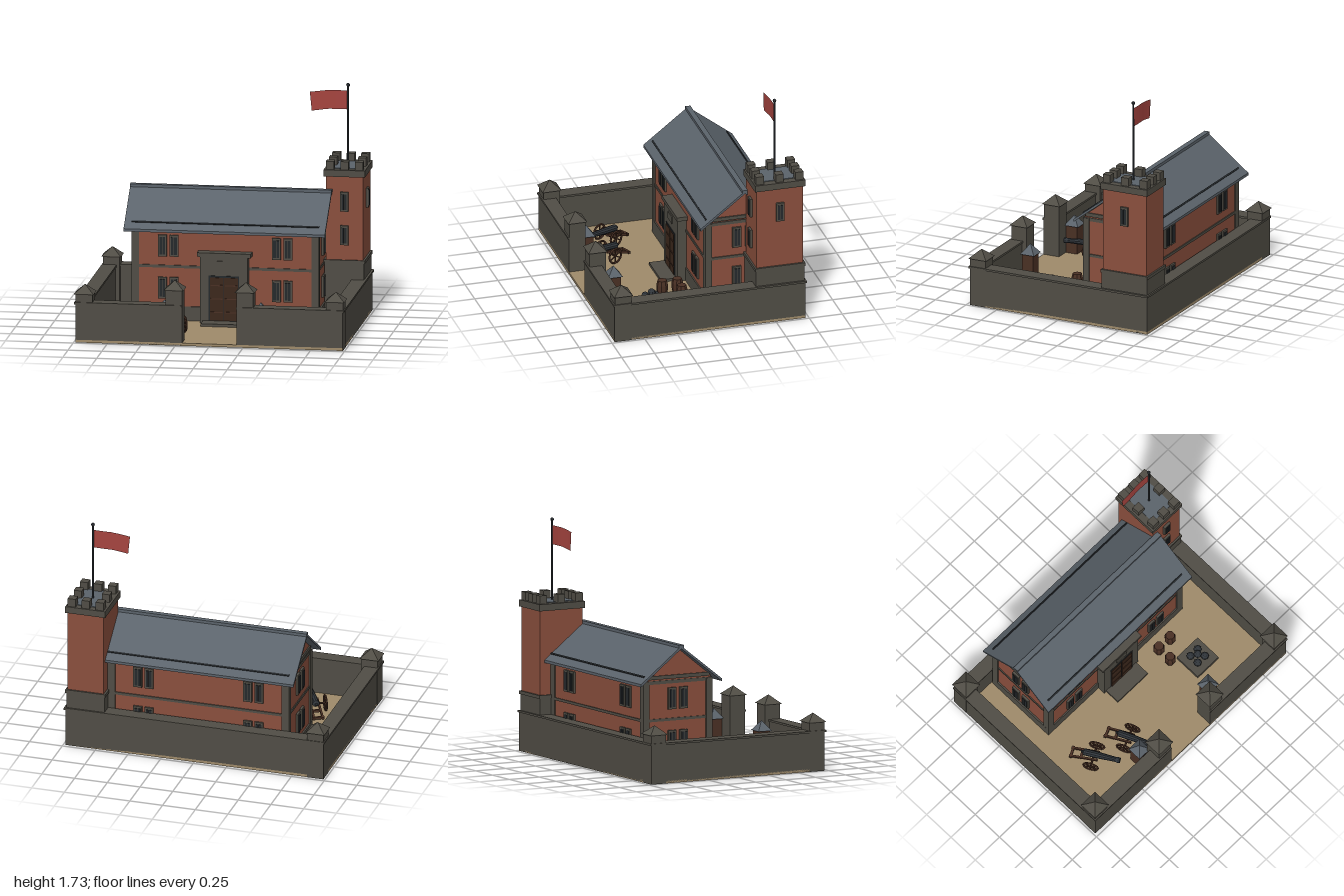
import * as THREE from 'three';

const paint = (color) => new THREE.MeshStandardMaterial({ color, flatShading: true });
const stone = paint(0x504d45), brick = paint(0x8a4f3d), slate = paint(0x5b636b), sand = paint(0x9e8a6a);
const dark = paint(0x25292c), iron = paint(0x30353a), wood = paint(0x4a3024), door = paint(0x3c281c);
const cloth = paint(0xa5443f);
cloth.side = THREE.DoubleSide;

function add(parent, name, geometry, material, x = 0, y = 0, z = 0) {
  const mesh = new THREE.Mesh(geometry, material);
  mesh.name = name;
  mesh.position.set(x, y, z);
  parent.add(mesh);
  return mesh;
}

// Box standing on height y
const box = (p, name, mat, w, h, d, x, y, z) =>
  add(p, name, new THREE.BoxGeometry(w, h, d), mat, x, y + h / 2, z);

const pyramid = (p, name, mat, w, h, x, y, z) =>
  add(p, name, new THREE.ConeGeometry(w / Math.SQRT2, h, 4).rotateY(Math.PI / 4), mat, x, y + h / 2, z);

function group(parent, name, x = 0, y = 0, z = 0, turn = 0) {
  const g = new THREE.Group();
  g.name = name;
  g.position.set(x, y, z);
  g.rotation.y = turn;
  parent.add(g);
  return g;
}

// Extrude a (-z, y) profile along x
function alongX(points, width) {
  const shape = new THREE.Shape(points.map(([u, y]) => new THREE.Vector2(u, y)));
  return new THREE.ExtrudeGeometry(shape, { depth: width, bevelEnabled: false })
    .translate(0, 0, -width / 2).rotateY(Math.PI / 2);
}

// Framed window with two dark panes
function windowAt(parent, x, y, z, turn, w = 0.065, h = 0.16) {
  const g = group(parent, 'window', x, y, z, turn);
  box(g, 'windowFrame', stone, w, h, 0.03, 0, -h / 2, 0);
  for (const s of [-1, 1]) box(g, 'windowPane', dark, w * 0.29, h - 0.03, 0.04, s * w * 0.18, -h / 2 + 0.015, 0);
}

function addYard(root) {
  const yard = group(root, 'yard');
  box(yard, 'ground', sand, 1.97, 0.02, 1.45, 0, 0, 0);
  // Perimeter walls with capping: width, depth, x, z
  const runs = [[1.97, 0.09, 0, -0.68], [0.785, 0.09, 0.5925, 0.68], [0.785, 0.09, -0.5925, 0.68],
    [0.09, 1.45, 0.94, 0], [0.09, 1.45, -0.94, 0]];
  for (const [w, d, x, z] of runs) {
    box(yard, 'yardWall', stone, w, 0.285, d, x, 0, z);
    box(yard, 'wallCap', stone, w + (w > 0.5 && w < 1 ? 0 : 0.02), 0.015, d + 0.015, x, 0.285, z);
  }
  // Corner piers and gate posts
  for (const [x, z, h] of [[-0.925, -0.665, 0.36], [-0.925, 0.66, 0.36], [0.925, 0.66, 0.36],
    [-0.262, 0.66, 0.41], [0.262, 0.66, 0.41]]) {
    box(yard, 'pier', stone, 0.124, h, 0.124, x, 0, z);
    pyramid(yard, 'pierCap', stone, 0.145, 0.065, x, h, z);
  }
  // Sentry boxes
  for (const s of [-1, 1]) {
    const g = group(yard, 'sentryBox', s * 0.355, 0.02, 0.55);
    box(g, 'sentryBody', wood, 0.09, 0.21, 0.09, 0, 0, 0);
    box(g, 'sentryOpening', dark, 0.05, 0.16, 0.01, 0, 0, 0.042);
    pyramid(g, 'sentryRoof', slate, 0.112, 0.075, 0, 0.21, 0);
  }
  // Barrels
  for (const [x, z] of [[0.34, 0.06], [0.455, 0.06], [0.34, 0.175]]) {
    const profile = [[0, 0], [0.034, 0], [0.042, 0.035], [0.042, 0.075], [0.034, 0.11], [0, 0.11]];
    const geo = new THREE.LatheGeometry(profile.map(([r, y]) => new THREE.Vector2(r, y)), 8);
    add(yard, 'barrel', geo.rotateY(Math.PI / 8), wood, x, 0.02, z);
  }
  // Cannonball pile
  box(yard, 'shotPlinth', stone, 0.215, 0.03, 0.215, 0.497, 0.02, 0.302);
  for (const [i, j, y] of [[-1, -1, 0.08], [1, -1, 0.08], [-1, 1, 0.08], [1, 1, 0.08], [0, 0, 0.118]])
    add(yard, 'cannonball', new THREE.SphereGeometry(0.03, 8, 6), iron, 0.497 + i * 0.037, y, 0.302 + j * 0.037);
}

// Field gun, muzzle towards +z, axle at the group centre
function addCannon(root, x, z, turn) {
  const g = group(root, 'cannon', x, 0.02, z, turn);
  const profile = [[0, -0.1], [0.01, -0.095], [0.01, -0.085], [0.026, -0.075], [0.025, 0.03],
    [0.018, 0.17], [0.022, 0.185], [0.02, 0.2], [0, 0.2]];
  const tube = new THREE.LatheGeometry(profile.map(([r, y]) => new THREE.Vector2(r, y)), 10).rotateX(Math.PI / 2);
  add(g, 'gunBarrel', tube, iron, 0, 0.105, 0).rotation.x = -0.08;
  add(g, 'axle', new THREE.CylinderGeometry(0.008, 0.008, 0.19, 6).rotateZ(Math.PI / 2), wood, 0, 0.065, 0);
  for (const s of [-1, 1]) {
    const wheel = group(g, 'wheel', s * 0.085, 0.065, 0);
    add(wheel, 'wheelRim', new THREE.TorusGeometry(0.056, 0.008, 5, 14).rotateY(Math.PI / 2), wood);
    for (let i = 0; i < 3; i++)
      add(wheel, 'spokes', new THREE.BoxGeometry(0.008, 0.11, 0.008), wood).rotation.x = i * Math.PI / 3;
    box(g, 'trailRail', wood, 0.014, 0.02, 0.22, s * 0.032, 0.045, -0.07).rotation.x = -0.29;
  }
  box(g, 'trailBar', wood, 0.09, 0.018, 0.018, 0, 0.018, -0.165);
  box(g, 'trailBar', wood, 0.08, 0.018, 0.018, 0, 0.04, -0.09);
}

function addHall(root) {
  const hall = group(root, 'hall');
  const midZ = -0.3375;
  add(hall, 'hallWalls', alongX([[0.06, 0], [0.615, 0], [0.615, 0.725], [midZ * -1, 0.943], [0.06, 0.725]], 1.36), brick);
  box(hall, 'plinth', stone, 1.385, 0.125, 0.575, 0, 0, midZ);
  box(hall, 'stringCourse', stone, 1.375, 0.02, 0.57, 0, 0.41, midZ);
  box(hall, 'eavesBand', stone, 1.375, 0.025, 0.57, 0, 0.685, midZ);
  for (const s of [-1, 1]) {
    box(hall, 'gableBand', stone, 0.02, 0.027, 0.53, s * 0.68, 0.72, midZ);
    for (const t of [-1, 1])
      box(hall, 'quoin', stone, 0.055, 0.705, 0.05, s * 0.6645, 0, midZ + t * 0.2625);
  }
  // Paired windows on all four sides, two storeys
  for (const y of [0.26, 0.575]) for (const s of [-1, 1]) for (const t of [-1, 1]) {
    windowAt(hall, s * 0.42 + t * 0.043, y, -0.06, 0);
    windowAt(hall, s * 0.42 + t * 0.043, y, -0.615, Math.PI);
    windowAt(hall, s * 0.682, y, midZ + t * 0.048, s * Math.PI / 2);
  }
  // Pitched roof, ridge and eaves battens
  add(hall, 'roof', alongX([[0, 0.682], [0.3375, 0.943], [0.675, 0.682], [0.675, 0.702], [0.3375, 0.963], [0, 0.702]], 1.485), slate);
  box(hall, 'ridge', slate, 1.487, 0.022, 0.04, 0, 0.948, midZ);
  for (const s of [-1, 1])
    box(hall, 'roofBatten', dark, 1.385, 0.012, 0.012, 0, 0.74, midZ + s * 0.282).rotation.x = s * 0.66;
  // Entrance portal
  box(hall, 'portal', stone, 0.35, 0.515, 0.08, 0, 0, -0.03);
  box(hall, 'portalCornice', stone, 0.398, 0.03, 0.1, 0, 0.515, -0.03);
  box(hall, 'plaque', stone, 0.1, 0.055, 0.012, 0, 0.43, 0.012);
  box(hall, 'doorFrame', dark, 0.225, 0.335, 0.006, 0, 0.04, 0.011);
  for (const s of [-1, 1]) {
    box(hall, 'doorLeaf', door, 0.1, 0.32, 0.012, s * 0.053, 0.042, 0.012);
    for (const y of [0.1, 0.2, 0.3]) box(hall, 'doorStrap', wood, 0.09, 0.008, 0.004, s * 0.053, y, 0.02);
  }
  box(hall, 'doorStep', stone, 0.31, 0.04, 0.13, 0, 0, 0.065);
}

function addTower(root) {
  const tower = group(root, 'tower', 0.833, 0, -0.534);
  box(tower, 'towerBase', stone, 0.29, 0.42, 0.37, 0, 0, 0);
  box(tower, 'towerBaseBand', stone, 0.305, 0.025, 0.382, 0, 0.42, 0);
  box(tower, 'towerShaft', brick, 0.275, 0.64, 0.355, 0, 0.44, 0);
  box(tower, 'parapet', stone, 0.305, 0.05, 0.382, 0, 1.065, 0);
  box(tower, 'towerRoof', slate, 0.2, 0.008, 0.28, 0, 1.112, 0);
  for (const i of [-1, 0, 1]) for (const j of [-1, 0, 1])
    if (i || j) box(tower, 'merlon', stone, 0.06, 0.062, 0.06, i * 0.107, 1.115, j * 0.15);
  windowAt(tower, 0, 0.88, 0.18, 0, 0.06, 0.145);
  windowAt(tower, 0, 0.63, 0.18, 0, 0.06, 0.145);
  windowAt(tower, 0.14, 0.88, 0, Math.PI / 2, 0.06, 0.145);
  // Flagpole and waving flag
  add(tower, 'flagpole', new THREE.CylinderGeometry(0.007, 0.008, 0.6, 8), iron, 0, 1.41, 0);
  add(tower, 'poleBall', new THREE.SphereGeometry(0.014, 8, 6), iron, 0, 1.712, 0);
  const flag = new THREE.PlaneGeometry(0.27, 0.14, 6, 1).translate(-0.14, 0, 0);
  const p = flag.attributes.position;
  for (let i = 0; i < p.count; i++) {
    const t = Math.max(0, -p.getX(i) - 0.15);
    p.setXY(i, p.getX(i) - t * p.getY(i) * 0.8, p.getY(i) - t * 0.14);
    p.setZ(i, 0.003 * Math.sin(p.getX(i) * 20));
  }
  flag.computeVertexNormals();
  add(tower, 'flag', flag, cloth, 0, 1.6, 0);
}

export function createModel() {
  const root = new THREE.Group();
  root.name = 'fortifiedHall';
  addYard(root);
  addHall(root);
  addTower(root);
  addCannon(root, -0.59, 0.315, 0.5);
  addCannon(root, -0.315, 0.395, 0.4);
  return root;
}
